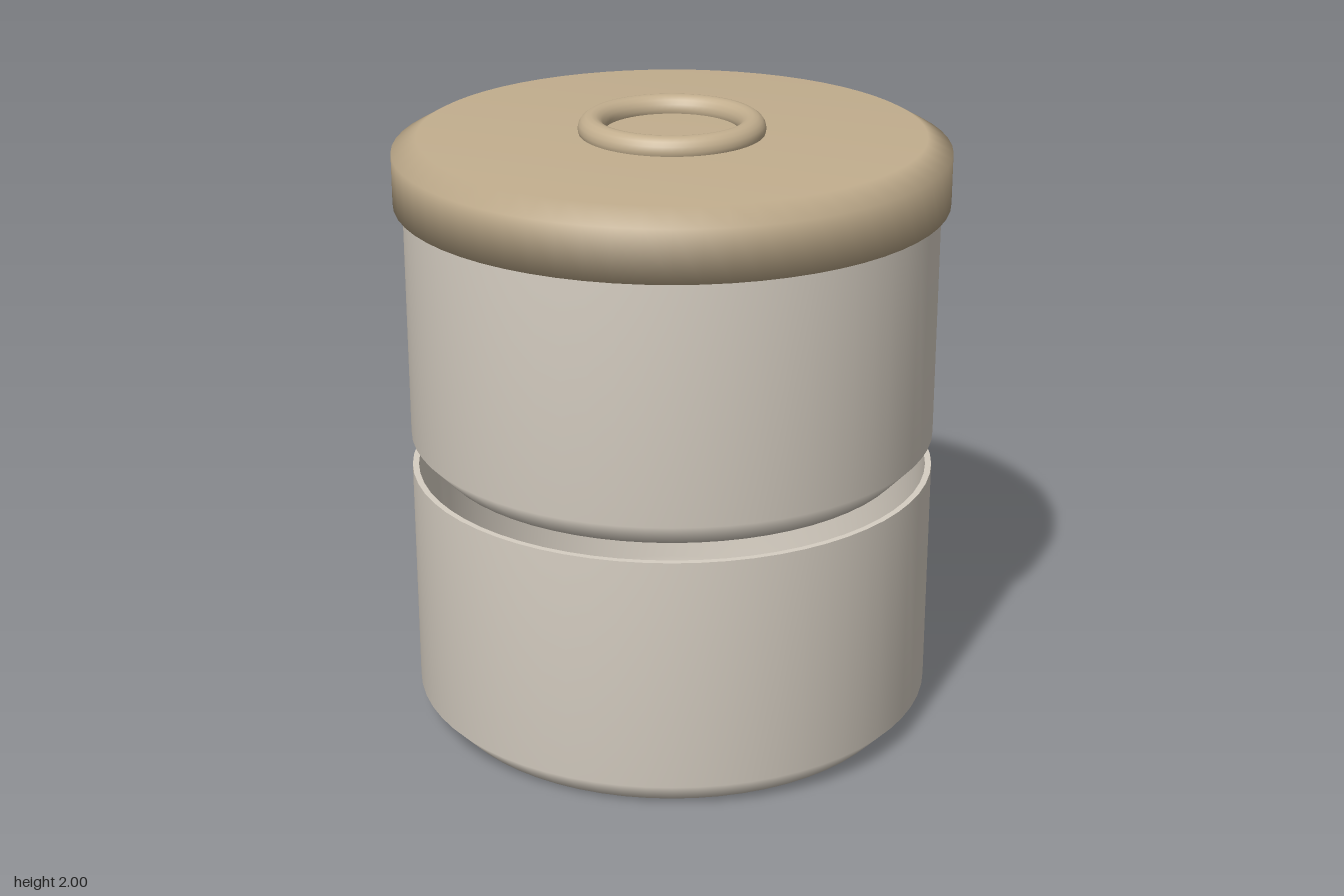
import * as THREE from 'three';

const stone = new THREE.MeshStandardMaterial({ color: 0xd6cec2 });
stone.name = 'warm grey';
const tan = new THREE.MeshStandardMaterial({ color: 0xc2ae8e });
tan.name = 'tan';

const SEGMENTS = 64;

// Revolves a profile of [radius, height] points; climbing profiles face outward
function turned(name, profile, material) {
  const points = profile.map(([r, y]) => new THREE.Vector2(r, y));
  const mesh = new THREE.Mesh(new THREE.LatheGeometry(points, SEGMENTS), material);
  mesh.name = name;
  return mesh;
}

// Open tub with a chamfered foot and a thin wall, creased at the rim
function createBowl(name, y) {
  const bowl = new THREE.Group();
  bowl.name = name;
  bowl.add(
    turned('outerWall', [[0, 0], [0.77, 0], [0.85, 0.085], [0.85, 0.85]], stone),
    turned('rim', [[0.85, 0.85], [0.83, 0.85]], stone),
    turned('innerWall', [[0.83, 0.85], [0.83, 0.095], [0.76, 0.02], [0, 0.02]], stone)
  );
  bowl.position.y = y;
  return bowl;
}

export function createModel() {
  const model = new THREE.Group();
  model.name = 'stackedContainer';

  // Two stacked bowls with a narrow gap between them
  model.add(createBowl('lowerBowl', 0), createBowl('upperBowl', 0.88));

  // Lid with a softly shaded chamfer
  model.add(turned('lid', [[0, 1.735], [0.88, 1.735], [0.88, 1.9], [0.8, 1.945], [0, 1.945]], tan));

  // Ring handle half sunk into the lid
  const handle = new THREE.Mesh(new THREE.TorusGeometry(0.254, 0.042, 16, SEGMENTS), tan);
  handle.name = 'ringHandle';
  handle.rotation.x = -Math.PI / 2;
  handle.position.y = 1.958;
  model.add(handle);

  return model;
}
